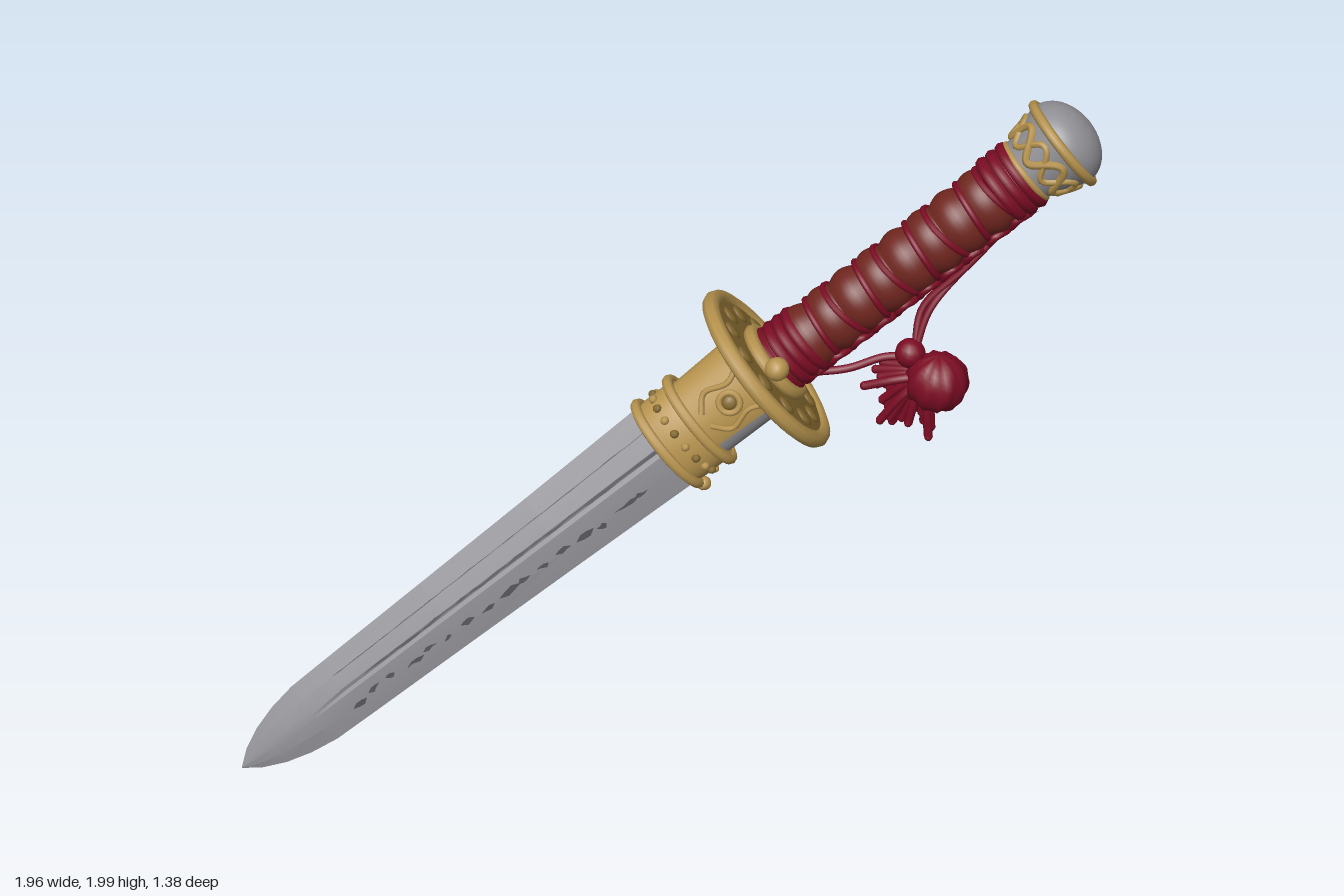
import * as THREE from 'three';
import { toCreasedNormals } from 'three/addons/utils/BufferGeometryUtils.js';

const V = (x, y, z) => new THREE.Vector3(x, y, z);

export function createModel() {
  const material = (name, color, side = THREE.FrontSide) => {
    const m = new THREE.MeshStandardMaterial({ color, side });
    m.name = name;
    return m;
  };
  const steel = material('steel', 0x8f8f94);
  const pitted = material('pittedSteel', 0x55555a, THREE.DoubleSide);
  const gold = material('gold', 0xb6934e, THREE.DoubleSide);
  const darkGold = material('darkGold', 0x84682f);
  const crimson = material('crimsonCord', 0x7c0c24);
  const brown = material('brownWrap', 0x70261f);

  let seed = 7;
  const rand = () => (seed = (seed * 16807) % 2147483647) / 2147483647;

  const model = new THREE.Group();
  model.name = 'dagger';

  // Dagger frame: y runs from tip to pommel, x across the blade, z out of its face
  const dagger = new THREE.Group();
  dagger.name = 'bladeAndHilt';
  const d = V(0.633, 0.6435, -0.43).normalize();
  const w = V(0.713, -0.701, 0).normalize();
  const n = new THREE.Vector3().crossVectors(w, d).normalize();
  w.crossVectors(d, n);
  dagger.quaternion.setFromRotationMatrix(new THREE.Matrix4().makeBasis(w, d, n));
  dagger.position.set(-0.98, 0.01, 0.68);
  model.add(dagger);

  const add = (name, geo, mat, pos = [0, 0, 0], parent = dagger) => {
    const mesh = new THREE.Mesh(geo, mat);
    mesh.name = name;
    mesh.position.set(...pos);
    parent.add(mesh);
    return mesh;
  };
  const lathe = (name, pts, mat, sx = 1, sz = 1) => {
    const geo = new THREE.LatheGeometry(pts.map(p => new THREE.Vector2(...p)), 48).scale(sx, 1, sz);
    return add(name, toCreasedNormals(geo, 0.6), mat);
  };
  const ring = (name, r, tube, y, mat, sx = 1, sz = 1, tilt = 0) => {
    const mesh = add(name, new THREE.TorusGeometry(r, tube, 8, 48).rotateX(Math.PI / 2).scale(sx, 1, sz), mat, [0, y, 0]);
    mesh.rotation.set(tilt * 0.6, 0, tilt);
    return mesh;
  };
  const tube = (name, pts, r, mat, parent = dagger, seg = 24) =>
    add(name, new THREE.TubeGeometry(new THREE.CatmullRomCurve3(pts), seg, r, 7), mat, [0, 0, 0], parent);

  // Blade: diamond section with a shallow central groove
  const stations = [[0, 0.002, 0.002], [0.05, 0.036, 0.01], [0.12, 0.066, 0.017], [0.2, 0.087, 0.023],
    [0.29, 0.1, 0.026], [0.42, 0.103, 0.027], [0.8, 0.11, 0.029], [1.2, 0.118, 0.031], [1.7, 0.13, 0.034]];
  const profile = [[-1, 0], [-0.52, 0.66], [-0.1, 0.98], [0, 1], [0.1, 0.98], [0.52, 0.66]];
  const sample = t => {
    let i = 1;
    while (i < stations.length - 1 && stations[i][0] < t) i++;
    const [a, b] = [stations[i - 1], stations[i]];
    const k = (t - a[0]) / (b[0] - a[0]);
    return [a[1] + (b[1] - a[1]) * k, a[2] + (b[2] - a[2]) * k];
  };
  const pos = [], idx = [], count = profile.length * 2;
  stations.forEach(([t, hw, th], i) => {
    const groove = t > 0.4 ? 0.8 : 1;
    for (const s of [1, -1]) {
      for (const [x, z] of profile) pos.push(s * x * hw, t, s * z * th * (x === 0 ? groove : 1));
    }
    if (i === 0) return;
    for (let j = 0; j < count; j++) {
      const k = (j + 1) % count, p = (i - 1) * count, q = i * count;
      idx.push(p + j, p + k, q + j, p + k, q + k, q + j);
    }
  });
  const bladeGeo = new THREE.BufferGeometry();
  bladeGeo.setAttribute('position', new THREE.Float32BufferAttribute(pos, 3));
  bladeGeo.setIndex(idx);
  add('blade', toCreasedNormals(bladeGeo, 0.15), steel);

  // Engraved lines and worn pits lying on both blade faces
  const surface = (u, t, s) => {
    const [hw, th] = sample(t), a = Math.abs(u);
    const z = a > 0.52 ? 0.66 * (1 - a) / 0.48 : 0.66 + 0.32 * (0.52 - a) / 0.42;
    return [s * u * hw, t, s * (Math.min(z, 1) * th + 0.0015)];
  };
  const strip = (name, u, t0, t1, width) => {
    for (const s of [1, -1]) {
      const p = [], f = [], steps = Math.max(3, Math.round((t1 - t0) / 0.025));
      for (let i = 0; i <= steps; i++) {
        const t = t0 + (t1 - t0) * i / steps, e = i % steps ? width * (0.4 + rand()) : 0.004;
        const c = u + (rand() - 0.5) * width;
        p.push(...surface(c - e, t, s), ...surface(c + e, t, s));
        if (i) f.push(2 * i - 2, 2 * i - 1, 2 * i, 2 * i - 1, 2 * i + 1, 2 * i);
      }
      const g = new THREE.BufferGeometry();
      g.setAttribute('position', new THREE.Float32BufferAttribute(p, 3));
      g.setIndex(f);
      g.computeVertexNormals();
      add(name, g, pitted);
    }
  };
  strip('engravedLine', -0.52, 0.42, 1.6, 0.012);
  strip('centreGroove', -0.06, 0.5, 1.6, 0.03);
  for (let t = 0.4; t < 1.5; t += 0.07) strip('wornPit', 0.4 + rand() * 0.16, t, t + 0.03 + rand() * 0.06, 0.06);

  // Collar around the blade base
  lathe('collar', [[0, 1.6], [0.125, 1.6], [0.13, 1.64], [0.13, 1.7], [0.125, 1.735], [0, 1.735]], gold, 1, 0.64);
  ring('collarLowerRim', 0.135, 0.015, 1.615, gold, 1, 0.66);
  ring('collarUpperRim', 0.135, 0.015, 1.725, gold, 1, 0.66);
  for (let i = 0; i < 18; i++) {
    const a = i / 18 * Math.PI * 2;
    add('collarBead', new THREE.SphereGeometry(0.012, 8, 6), i % 2 ? darkGold : gold, [0.131 * Math.cos(a), 1.67, 0.085 * Math.sin(a)]);
  }
  add('collarStud', new THREE.SphereGeometry(0.02, 10, 8), gold, [0.145, 1.62, 0]);

  // Steel throat under a gold sleeve left open along one edge
  lathe('throat', [[0.115, 1.73], [0.115, 1.95]], steel, 1, 0.6);
  add('throatSleeve', new THREE.CylinderGeometry(0.13, 0.12, 0.22, 40, 1, true, Math.PI * 0.78, Math.PI * 1.44).scale(1, 1, 0.65), gold, [0, 1.84, 0]);
  for (const s of [1, -1]) {
    add('sleeveRosette', new THREE.TorusGeometry(0.028, 0.009, 8, 20), gold, [0, 1.84, s * 0.082]);
    add('sleeveRosetteCentre', new THREE.SphereGeometry(0.02, 12, 8).scale(1, 1, 0.5), darkGold, [0, 1.84, s * 0.082]);
    for (const m of [1, -1]) {
      tube('sleeveScroll', [V(m * 0.02, 1.76, s * 0.08), V(m * 0.06, 1.8, s * 0.074), V(m * 0.045, 1.87, s * 0.08), V(m * 0.075, 1.93, s * 0.072)], 0.008, gold);
    }
  }

  // Round guard with a raised rim and embossed upper face
  lathe('guardPlate', [[0, 1.92], [0.13, 1.925], [0.22, 1.94], [0.235, 1.955], [0.225, 1.97]], gold);
  lathe('guardFace', [[0.23, 1.967], [0.12, 1.972], [0, 1.98]], darkGold);
  ring('guardRim', 0.23, 0.023, 1.957, gold);
  ring('guardHub', 0.1, 0.02, 1.985, gold);
  for (let i = 0; i < 12; i++) {
    const a = i / 12 * Math.PI * 2;
    add('guardBoss', new THREE.SphereGeometry(0.022, 10, 6).scale(1.3, 0.4, 1), darkGold, [0.17 * Math.cos(a), 1.972, 0.17 * Math.sin(a)]);
  }
  for (const s of [1, -1]) add('guardKnob', new THREE.SphereGeometry(0.032, 14, 10), gold, [0, 2.005, s * 0.115]);

  // Grip: swelling coils of wrap, cord between them and at both ends
  const coils = 10, y0 = 1.98, y1 = 2.8, gripPts = [];
  for (let i = 0; i <= coils * 6; i++) {
    const k = i / (coils * 6);
    gripPts.push([0.078 + 0.014 * Math.abs(Math.sin(k * coils * Math.PI)), y0 + (y1 - y0) * k]);
  }
  lathe('gripWrap', gripPts, brown, 1, 0.92);
  for (let i = 1; i < coils; i++) {
    ring('gripCord', 0.083, 0.009, y0 + (y1 - y0) * i / coils, crimson, 1, 0.92, i % 2 ? 0.16 : -0.1);
  }
  for (const y of [2.0, 2.03, 2.06, 2.09, 2.73, 2.76, 2.79]) ring('gripEndCord', 0.083, 0.017, y, crimson, 1, 0.92);
  for (const side of [1, -1]) {
    const braid = [];
    for (let i = 0; i <= 40; i++) {
      const a = Math.PI / 2 + side * Math.sin(i * 0.8) * 0.45;
      braid.push(V(0.091 * Math.sin(a), 2.02 + 0.75 * i / 40, 0.085 * Math.cos(a)));
    }
    tube('gripBraid', braid, 0.01, crimson, dagger, 120);
  }

  // Pommel: steel cup with gold filigree, rolled rim and steel dome
  const cupR = y => 0.082 + 0.038 * Math.pow((y - 2.79) / 0.13, 1.2);
  lathe('pommelCup', [2.79, 2.82, 2.85, 2.88, 2.92].map(y => [cupR(y), y]), steel);
  ring('pommelRim', 0.12, 0.013, 2.92, gold);
  ring('pommelNeckRing', 0.084, 0.009, 2.805, gold);
  const dome = [];
  for (let i = 0; i <= 12; i++) {
    const a = i / 12 * Math.PI / 2;
    dome.push([0.117 * Math.cos(a), 2.92 + 0.085 * Math.sin(a)]);
  }
  lathe('pommelDome', dome, steel);
  for (const [phase, r] of [[0, 0.011], [Math.PI, 0.009]]) {
    const wave = [];
    for (let i = 0; i < 60; i++) {
      const a = i / 60 * Math.PI * 2, y = 2.86 + 0.03 * Math.sin(a * 5 + phase);
      wave.push(V(Math.sin(a) * cupR(y), y, Math.cos(a) * cupR(y)));
    }
    add('pommelFiligree', new THREE.TubeGeometry(new THREE.CatmullRomCurve3(wave, true), 120, r, 6, true), gold);
  }

  // Hanging cords and tassel
  const tassel = new THREE.Group();
  tassel.name = 'tassel';
  model.add(tassel);
  for (const o of [0, 0.02]) {
    tube('hangingCord', [V(0.79, 1.7, -0.48 + o), V(0.7, 1.57, -0.42 + o), V(0.635 - o, 1.46, -0.34), V(0.62, 1.35, -0.29)], 0.01, crimson, tassel);
  }
  tube('baseCord', [V(0.36, 1.27, -0.19), V(0.46, 1.29, -0.23), V(0.55, 1.33, -0.27), V(0.63, 1.34, -0.29)], 0.011, crimson, tassel);
  add('tasselKnot', new THREE.SphereGeometry(0.04, 14, 10), crimson, [0.61, 1.35, -0.285], tassel);
  const head = new THREE.SphereGeometry(0.08, 28, 18), hp = head.attributes.position;
  for (let i = 0; i < hp.count; i++) {
    const p = V().fromBufferAttribute(hp, i);
    p.multiplyScalar(1 + 0.07 * Math.sin(Math.atan2(p.z, p.x) * 9 + p.y * 40) * Math.sqrt(Math.max(0, 1 - (p.y / 0.08) ** 2)));
    hp.setXYZ(i, p.x, p.y, p.z);
  }
  head.computeVertexNormals();
  add('tasselHead', head, crimson, [0.69, 1.285, -0.285], tassel);
  for (let i = 0; i < 22; i++) {
    const a = Math.PI * (1.02 + 0.5 * (i / 21)), len = 0.13 + 0.045 * rand(), z = (rand() - 0.5) * 0.12;
    const tip = V(0.68 + Math.cos(a) * len * 1.1, 1.29 + Math.sin(a) * len, -0.28 + z);
    const mid = V(0.67 + Math.cos(a) * len * 0.5, 1.3 + Math.sin(a) * len * 0.4, -0.28 + z * 0.7);
    tube('tasselStrand', [V(0.67, 1.3, -0.285), mid, tip], 0.012, crimson, tassel, 8);
    add('strandEnd', new THREE.SphereGeometry(0.012, 7, 5), crimson, tip.toArray(), tassel);
  }
  return model;
}
